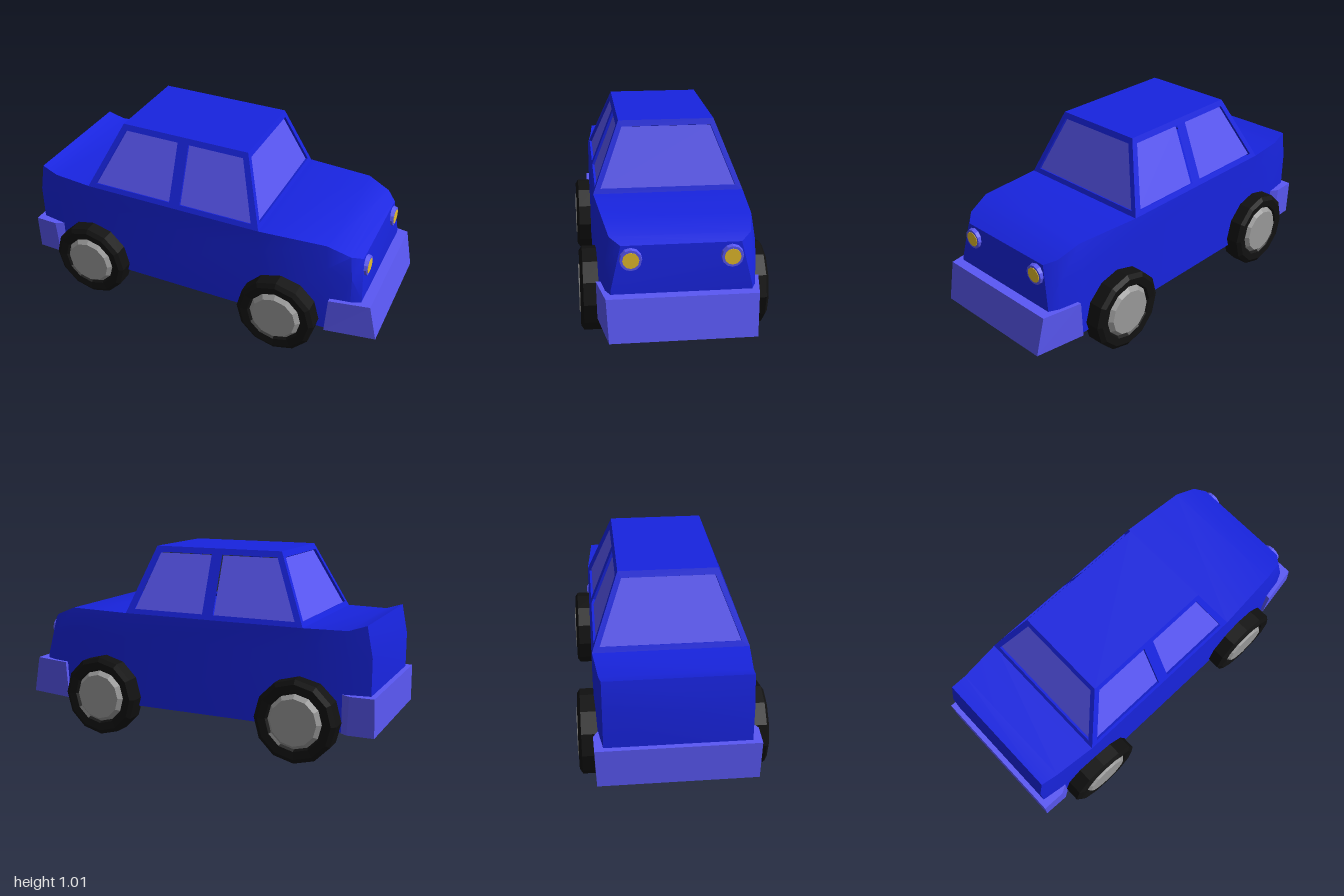
import * as THREE from 'three';
import { toCreasedNormals } from 'three/addons/utils/BufferGeometryUtils.js';

const paint = new THREE.MeshStandardMaterial({ color: 0x1824e0 });
const flatPaint = new THREE.MeshStandardMaterial({ color: 0x1824e0, flatShading: true });
const trim = new THREE.MeshStandardMaterial({ color: 0x5a58f5, flatShading: true });
const rubber = new THREE.MeshStandardMaterial({ color: 0x111111, flatShading: true });
const metal = new THREE.MeshStandardMaterial({ color: 0x999999, flatShading: true });
const lamp = new THREE.MeshStandardMaterial({ color: 0xe6be2d, flatShading: true });

function add(parent, name, geometry, material) {
  const mesh = new THREE.Mesh(geometry, material);
  mesh.name = name;
  parent.add(mesh);
  return mesh;
}

// Closed symmetric loft: stations run rear to front, each a list of
// [x, y, halfWidth] from bottom to top.
function loft(stations) {
  const n = stations[0].length, ring = n * 2, pos = [], index = [];
  for (const s of stations) {
    for (const [x, y, w] of s) pos.push(x, y, w);
    for (const [x, y, w] of [...s].reverse()) pos.push(x, y, -w);
  }
  const quad = (a, b, c, d) => index.push(a, b, c, a, c, d);
  for (let i = 0; i < stations.length - 1; i++) {
    for (let j = 0; j < ring; j++) {
      const k = (j + 1) % ring, a = i * ring, b = a + ring;
      quad(a + j, b + j, b + k, a + k);
    }
  }
  const end = (stations.length - 1) * ring;
  for (let j = 0; j < n - 1; j++) {
    const r = ring - 1 - j;
    quad(j, j + 1, r - 1, r);
    quad(end + j, end + r, end + r - 1, end + j + 1);
  }
  const g = new THREE.BufferGeometry();
  g.setAttribute('position', new THREE.Float32BufferAttribute(pos, 3));
  g.setIndex(index);
  g.computeVertexNormals();
  return g;
}

// Sloping cabin wall with recessed glass; outlines are [u, y] points.
const Y0 = 0.665, Y1 = 1.015;
function cabinWall(name, origin, u, rise, outline, windows) {
  const wall = new THREE.Group();
  wall.name = name;
  const U = new THREE.Vector3(...u), V = new THREE.Vector3(...rise);
  const stretch = V.length() / (Y1 - Y0);
  V.normalize();
  const N = new THREE.Vector3().crossVectors(U, V);
  wall.applyMatrix4(new THREE.Matrix4().makeBasis(U, V, N).setPosition(...origin));
  const toPoints = (list) => list.map(([a, y]) => new THREE.Vector2(a, (y - Y0) * stretch));
  const frame = new THREE.Shape(toPoints(outline));
  for (const w of windows) {
    frame.holes.push(new THREE.Path(toPoints(w)));
    const glass = add(wall, 'windowGlass', new THREE.ShapeGeometry(new THREE.Shape(toPoints(w))), trim);
    glass.position.z = -0.013;
  }
  const g = new THREE.ExtrudeGeometry(frame, { depth: 0.025, bevelEnabled: false });
  g.translate(0, 0, -0.025);
  add(wall, 'windowFrame', g, flatPaint);
  return wall;
}

function makeWheel() {
  const wheel = new THREE.Group();
  const lathe = (pts) => new THREE.LatheGeometry(pts.map((p) => new THREE.Vector2(...p)), 12).rotateX(Math.PI / 2);
  // Tyre with chamfered shoulders and a recessed inner wall
  add(wheel, 'tyre', lathe([[0.135, -0.035], [0.15, -0.055], [0.19, -0.06], [0.213, -0.045],
    [0.213, 0.045], [0.19, 0.06], [0.15, 0.055], [0.135, 0.035]]), rubber);
  // Hub, tapered on both faces
  add(wheel, 'hub', lathe([[0, -0.065], [0.12, -0.065], [0.142, -0.04],
    [0.142, 0.04], [0.12, 0.065], [0, 0.065]]), metal);
  return wheel;
}

export function createModel() {
  const car = new THREE.Group();
  car.name = 'car';

  // Lower body, tapering to a rounded bonnet at +x
  const b = 0.165;
  const body = loft([
    [[-0.97, b, 0.35], [-0.97, 0.54, 0.35], [-0.94, 0.695, 0.35]],
    [[-0.85, b, 0.368], [-0.85, 0.54, 0.368], [-0.85, 0.665, 0.36]],
    [[-0.62, b, 0.383], [-0.62, 0.54, 0.383], [-0.62, Y0, 0.383]],
    [[0.36, b, 0.383], [0.36, 0.54, 0.383], [0.36, Y0, 0.383]],
    [[0.72, b, 0.375], [0.72, 0.54, 0.375], [0.71, Y0, 0.355]],
    [[0.86, b, 0.355], [0.85, 0.5, 0.352], [0.83, 0.617, 0.33]],
    [[0.9, b, 0.335], [0.905, 0.38, 0.33], [0.88, 0.59, 0.28]],
  ]);
  add(car, 'body', toCreasedNormals(body, 0.6), paint);

  // Cabin: two sides, windscreen, rear window and roof
  const sideOutline = [[-0.63, Y0], [0.36, Y0], [0.24, Y1], [-0.465, Y1]];
  const sideWindows = [
    [[-0.585, 0.69], [-0.145, 0.69], [-0.145, 0.985], [-0.447, 0.985]],
    [[-0.085, 0.69], [0.315, 0.69], [0.218, 0.985], [-0.085, 0.985]],
  ];
  for (const s of [1, -1]) {
    const flip = (list) => list.map(([u, y]) => [u * s, y]);
    car.add(cabinWall(s > 0 ? 'cabinSideNear' : 'cabinSideFar', [0, Y0, 0.383 * s], [s, 0, 0],
      [0, Y1 - Y0, -0.138 * s], flip(sideOutline), sideWindows.map(flip)));
  }
  const endOutline = [[-0.383, Y0], [0.383, Y0], [0.245, Y1], [-0.245, Y1]];
  const endWindow = [[-0.345, 0.69], [0.345, 0.69], [0.228, 0.985], [-0.228, 0.985]];
  car.add(cabinWall('windscreen', [0.36, Y0, 0], [0, 0, -1], [-0.12, Y1 - Y0, 0], endOutline, [endWindow]));
  car.add(cabinWall('rearWindow', [-0.63, Y0, 0], [0, 0, 1], [0.165, Y1 - Y0, 0], endOutline, [endWindow]));
  add(car, 'roof', new THREE.BoxGeometry(0.705, 0.02, 0.49), flatPaint).position.set(-0.1125, Y1 - 0.01, 0);

  // Wrap-round bumpers
  add(car, 'frontBumper', loft([
    [[0.737, 0.16, 0.388], [0.75, 0.36, 0.392]],
    [[1, 0.16, 0.345], [0.957, 0.362, 0.355]],
  ]), trim);
  add(car, 'rearBumper', loft([
    [[-1, 0.16, 0.385], [-0.997, 0.355, 0.392]],
    [[-0.865, 0.16, 0.39], [-0.875, 0.355, 0.395]],
    [[-0.83, 0.16, 0.368], [-0.83, 0.355, 0.368]],
  ]), trim);

  // Headlights: bezel and lens
  for (const s of [1, -1]) {
    const light = new THREE.Group();
    light.name = s > 0 ? 'headlightNear' : 'headlightFar';
    light.position.set(0.88, 0.525, 0.235 * s);
    light.rotation.z = -Math.PI / 2;
    add(light, 'bezel', new THREE.CylinderGeometry(0.051, 0.06, 0.045, 12), trim);
    add(light, 'lens', new THREE.CylinderGeometry(0.039, 0.041, 0.05, 12), lamp);
    car.add(light);
  }

  // Wheels
  for (const [end, x] of [['front', 0.49], ['rear', -0.62]]) {
    for (const s of [1, -1]) {
      const wheel = makeWheel();
      wheel.name = end + (s > 0 ? 'WheelNear' : 'WheelFar');
      wheel.position.set(x, 0.213, 0.406 * s);
      car.add(wheel);
    }
  }
  return car;
}
